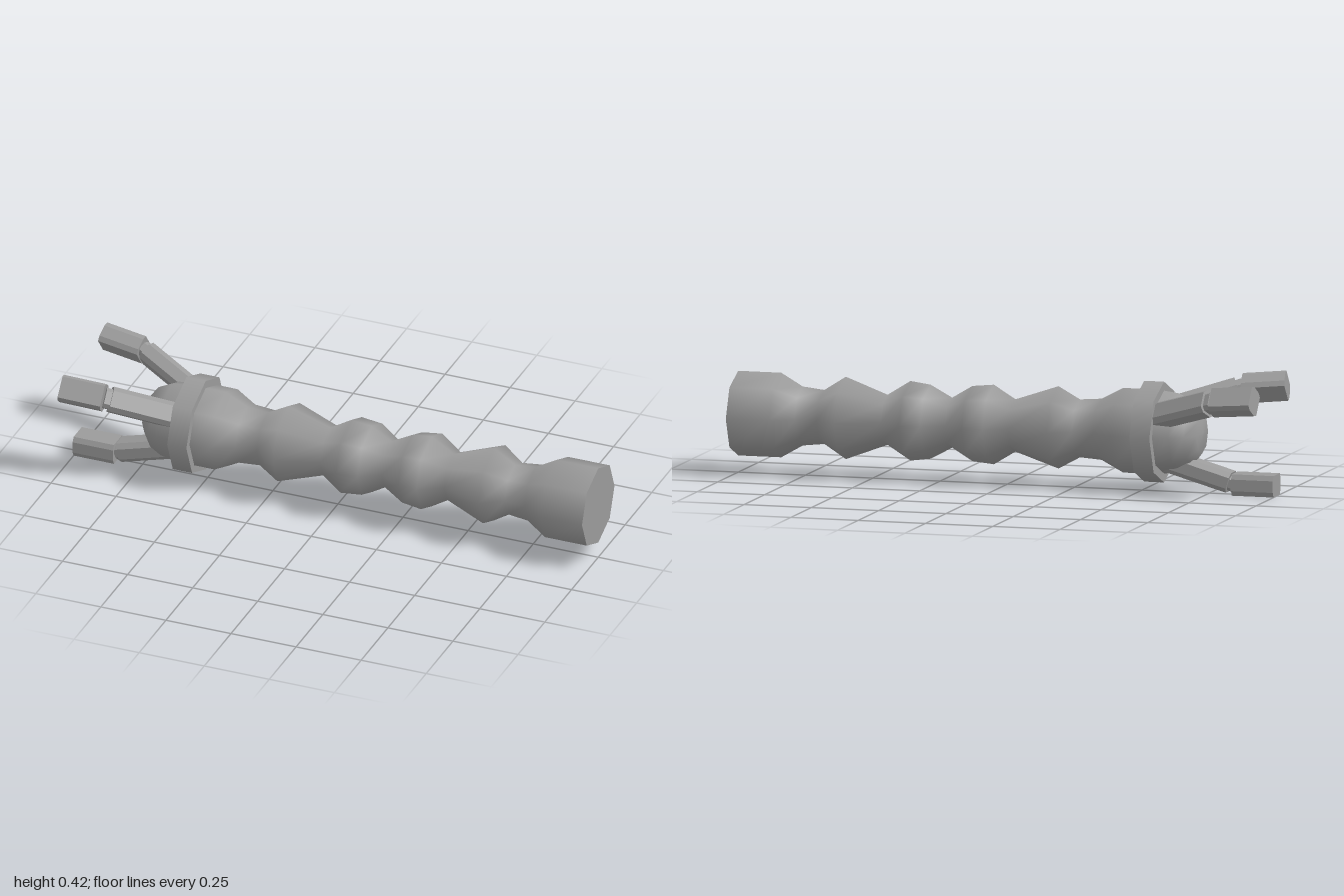
import * as THREE from 'three';

const AXIS_Y = 0.212;
const GREY = 0x9b9b9b;
const smooth = new THREE.MeshStandardMaterial({ color: GREY });
const flat = new THREE.MeshStandardMaterial({ color: GREY, flatShading: true });

function add(parent, name, geometry, material) {
  const mesh = new THREE.Mesh(geometry, material);
  mesh.name = name;
  parent.add(mesh);
  return mesh;
}

// Eight-sided turned shape along x, from [x, radius] pairs
function turned(profile) {
  const points = profile.map(([x, r]) => new THREE.Vector2(r, x));
  return new THREE.LatheGeometry(points, 8).rotateZ(-Math.PI / 2);
}

// Bar with bevelled corners running from a to b, each [x, distance from axis]
function bar(a, b, width, height, bevel) {
  const w = width / 2, h = height / 2, cw = width * bevel, ch = height * 0.23;
  const shape = new THREE.Shape([
    [-w + cw, -h], [w - cw, -h], [w, -h + ch], [w, h - ch],
    [w - cw, h], [-w + cw, h], [-w, h - ch], [-w, -h + ch],
  ].map(([x, y]) => new THREE.Vector2(x, y)));
  const dx = a[0] - b[0], dr = b[1] - a[1];
  return new THREE.ExtrudeGeometry(shape, { depth: Math.hypot(dx, dr), bevelEnabled: false })
    .rotateY(-Math.PI / 2)
    .rotateZ(Math.atan2(dr, dx))
    .translate(a[0], -a[1], 0);
}

// Two-part finger pointing along -x, offset towards local -y
function finger(name, root, joint, tipStart, tipEnd, turn) {
  const group = new THREE.Group();
  group.name = name;
  add(group, 'lowerFinger', bar(root, joint, 0.09, 0.074, 0.18), flat);
  add(group, 'knuckle', bar(joint, tipStart, 0.072, 0.055, 0.18), flat);
  add(group, 'fingertip', bar(tipStart, tipEnd, 0.095, 0.077, 0.1), flat);
  group.rotation.x = turn;
  return group;
}

export function createModel() {
  const model = new THREE.Group();
  model.name = 'clawArm';
  const arm = new THREE.Group();
  arm.name = 'arm';
  arm.position.y = AXIS_Y;
  model.add(arm);

  // Ribbed sleeve
  add(arm, 'sleeve', turned([
    [-0.53, 0.152], [-0.43, 0.152], [-0.35, 0.11], [-0.27, 0.104], [-0.19, 0.148],
    [-0.03, 0.094], [0.05, 0.143], [0.13, 0.135], [0.205, 0.09], [0.285, 0.133],
    [0.36, 0.143], [0.445, 0.09], [0.6, 0.148], [0.68, 0.097], [0.76, 0.106],
    [0.84, 0.152], [1, 0.152],
  ]), smooth);
  add(arm, 'sleeveEnd', turned([[1, 0.152], [1, 0]]), flat);

  // Collar with a smooth rim and flat faces
  add(arm, 'collarRim', turned([[-0.582, 0.181], [-0.508, 0.181]]), smooth);
  add(arm, 'collarPalmFace', turned([[-0.582, 0], [-0.582, 0.181]]), flat);
  add(arm, 'collarSleeveFace', turned([[-0.508, 0.181], [-0.508, 0]]), flat);

  // Rounded palm
  add(arm, 'palm', turned([
    [-0.728, 0], [-0.724, 0.07], [-0.688, 0.117], [-0.64, 0.141], [-0.56, 0.152],
  ]), smooth);

  // One thumb below, two spread fingers above
  arm.add(finger('thumb', [-0.55, 0.088], [-0.83, 0.168], [-0.845, 0.1735], [-1, 0.1735], 0));
  for (const side of [1, -1]) {
    arm.add(finger(side > 0 ? 'backFinger' : 'frontFinger',
      [-0.55, 0.097], [-0.802, 0.223], [-0.822, 0.233], [-0.978, 0.255],
      side * THREE.MathUtils.degToRad(127.5)));
  }
  return model;
}
